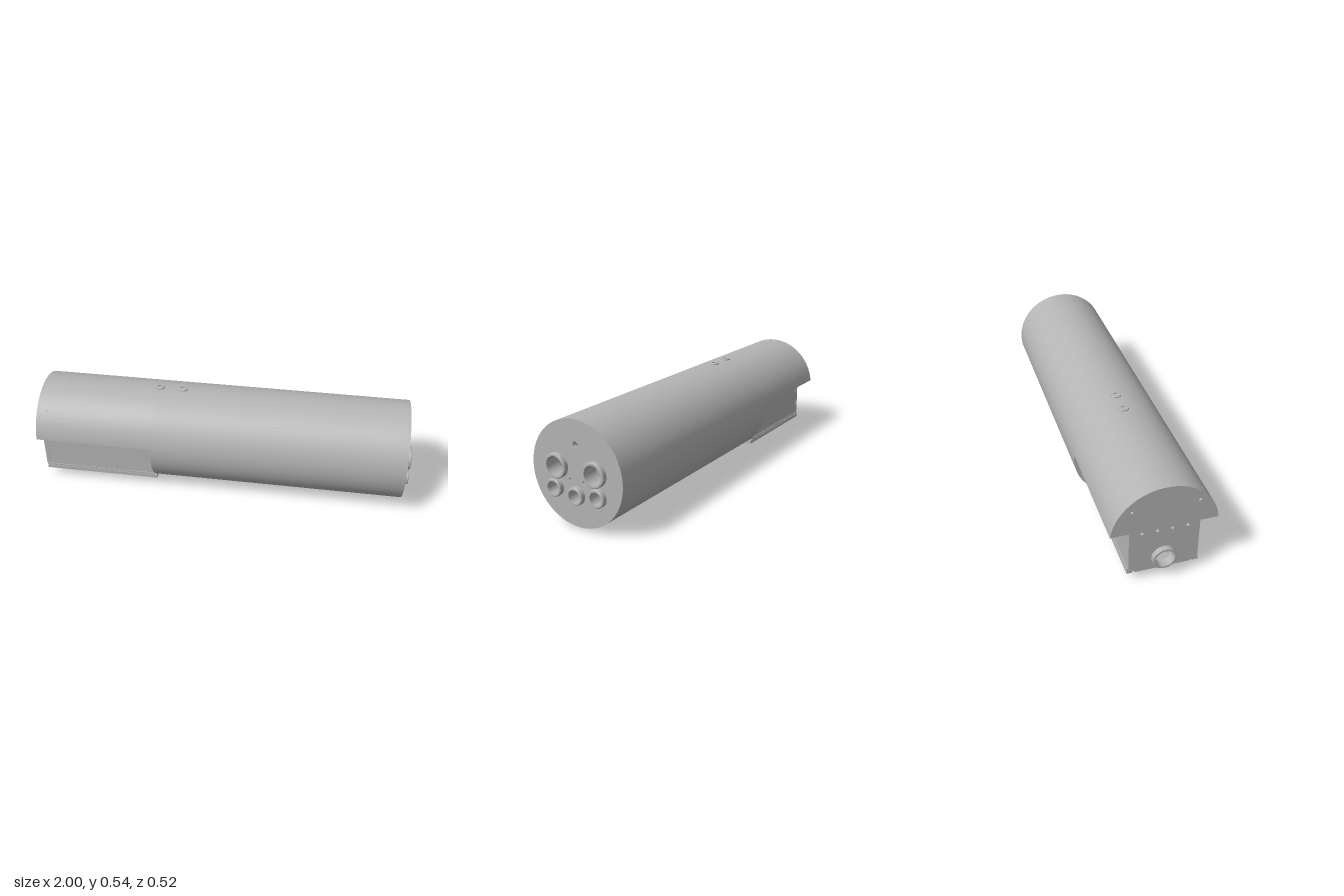
import * as THREE from 'three';
import { toCreasedNormals } from 'three/addons/utils/BufferGeometryUtils.js';

const R = 0.26, CY = 0.272, SEG = 48;      // hull radius and axis height
const X0 = -0.975, XS = -0.355, X1 = 0.975; // tail, step and nose positions

export function createModel() {
  const model = new THREE.Group();
  const grey = new THREE.MeshStandardMaterial({ color: 0xb4b4b4 });
  grey.name = 'metal grey';

  function add(name, geometry, x = 0, y = 0, z = 0, parent = model) {
    const mesh = new THREE.Mesh(geometry, grey);
    mesh.name = name;
    mesh.position.set(x, y, z);
    parent.add(mesh);
    return mesh;
  }
  // Extrude a cross-section drawn in (z, y) along x
  function slab(name, shape, xa, xb) {
    const g = new THREE.ExtrudeGeometry(shape, { depth: xb - xa, bevelEnabled: false, curveSegments: SEG });
    g.rotateY(Math.PI / 2);
    return add(name, toCreasedNormals(g, 0.5), xa);
  }
  const circle = (C, z, y, r) => {
    const s = new C();
    s.absarc(z, y, r, 0, Math.PI * 2, false);
    return s;
  };
  const polygon = (C, pts) => new C(pts.map(([z, y]) => new THREE.Vector2(z, y)));
  // Hollow collar along +y, standing on y = 0
  function collar(outer, inner, height, depth = 0.02) {
    const b = Math.min(0.003, height * 0.3);
    const pts = [[inner, -depth], [outer, -depth], [outer, height - b], [outer - b, height],
      [inner, height], [inner, -depth]].map(p => new THREE.Vector2(...p));
    return toCreasedNormals(new THREE.LatheGeometry(pts, 40), 0.5);
  }

  // Main hull tube
  const tube = circle(THREE.Shape, 0, CY, R);
  tube.holes.push(circle(THREE.Path, 0, CY, R - 0.015));
  slab('hullTube', tube, XS + 0.015, X1 - 0.02);

  // Nose plate pierced by five ports and three small holes: [z, y, outer, inner, height]
  const ports = [
    [0.11, 0.296, 0.061, 0.048, 0.024], [-0.11, 0.296, 0.061, 0.048, 0.024],
    [0.124, 0.187, 0.044, 0.033, 0.025], [-0.124, 0.187, 0.044, 0.033, 0.025],
    [0, 0.17, 0.044, 0.033, 0.025],
  ];
  const nose = circle(THREE.Shape, 0, CY, R);
  for (const [z, y, , inner] of ports) nose.holes.push(circle(THREE.Path, -z, y, inner));
  for (const [z, y, r] of [[0, 0.414, 0.014], [0.039, 0.24, 0.0075], [-0.039, 0.24, 0.0075]])
    nose.holes.push(circle(THREE.Path, z, y, r));
  slab('nosePlate', nose, X1 - 0.02, X1);
  for (const [z, y, outer, inner, h] of ports)
    add('nosePort', collar(outer, inner, h, 0.06), X1, y, z).rotation.z = -Math.PI / 2;

  // Bulkhead at the step, opening into the lower bay
  const bulkhead = circle(THREE.Shape, 0, CY, R);
  bulkhead.holes.push(polygon(THREE.Path, [[-0.15, 0.08], [0.15, 0.08], [0.15, 0.285], [-0.15, 0.285]]));
  slab('stepBulkhead', bulkhead, XS, XS + 0.015);

  // Upper hull carried on to the tail, flat underneath
  const a = Math.asin((0.3 - CY) / R);
  const dome = new THREE.Shape();
  dome.absarc(0, CY, R, a, Math.PI - a, false);
  dome.closePath();
  for (const s of [-1, 1]) dome.holes.push(circle(THREE.Path, s * 0.16, 0.425, 0.007));
  slab('upperTailHull', dome, X0, XS);

  // Tail plate with chamfered lower corners, an outlet and a row of holes
  const W = 0.17;
  const tail = polygon(THREE.Shape, [[-W, 0.302], [-W, 0.09], [-W + 0.035, 0.055],
    [W - 0.035, 0.055], [W, 0.09], [W, 0.302]]);
  tail.holes.push(circle(THREE.Path, 0, 0.125, 0.047));
  for (const z of [-0.11, -0.036, 0.036, 0.11]) tail.holes.push(circle(THREE.Path, z, 0.287, 0.008));
  slab('tailPlate', tail, X0, X0 + 0.02);
  add('tailOutlet', collar(0.06, 0.047, 0.025), X0, 0.125, 0).rotation.z = Math.PI / 2;

  // Lower bay sides, lips, rails and rail bolts, mirrored
  const L = XS - X0, mid = (XS + X0) / 2;
  const boltGeo = new THREE.CylinderGeometry(0.0025, 0.0025, 0.003, 8).rotateX(Math.PI / 2);
  for (const s of [-1, 1]) {
    const side = new THREE.Group();
    side.name = s > 0 ? 'leftBaySide' : 'rightBaySide';
    model.add(side);
    add('bayWall', new THREE.BoxGeometry(L - 0.002, 0.234, 0.012), mid, 0.185, s * (W - 0.007), side);
    add('bayLip', new THREE.BoxGeometry(L - 0.01, 0.012, 0.016), mid, 0.073, s * 0.165, side);
    add('bayRail', new THREE.BoxGeometry(L + 0.005, 0.018, 0.03), mid + 0.0075, 0.059, s * 0.161, side);
    for (let i = 0; i < 24; i++)
      add('railBolt', boltGeo, X0 + 0.03 + i * 0.0245, 0.073, s * 0.1735, side);
    const pin = add('stepPin', collar(0.018, 0.009, 0.01), XS, 0.165, s * 0.205, side);
    pin.rotation.z = Math.PI / 2;
    // Small fastener on the upper curve near the tail
    const ang = Math.asin(0.19 / R);
    const plug = add('hullFastener', collar(0.008, 0.004, 0.001), -0.925,
      CY + R * Math.cos(ang), s * 0.19, side);
    plug.rotation.x = s * ang;
  }

  // Fittings on the top and underside
  for (const x of [-0.345, -0.22]) add('topFitting', collar(0.027, 0.012, 0.006), x, CY + R, 0);
  add('topFastener', collar(0.012, 0.007, 0.001), -0.845, CY + R, 0);
  add('bottomFitting', collar(0.024, 0.012, 0.012), -0.315, CY - R, 0).rotation.x = Math.PI;

  return model;
}
